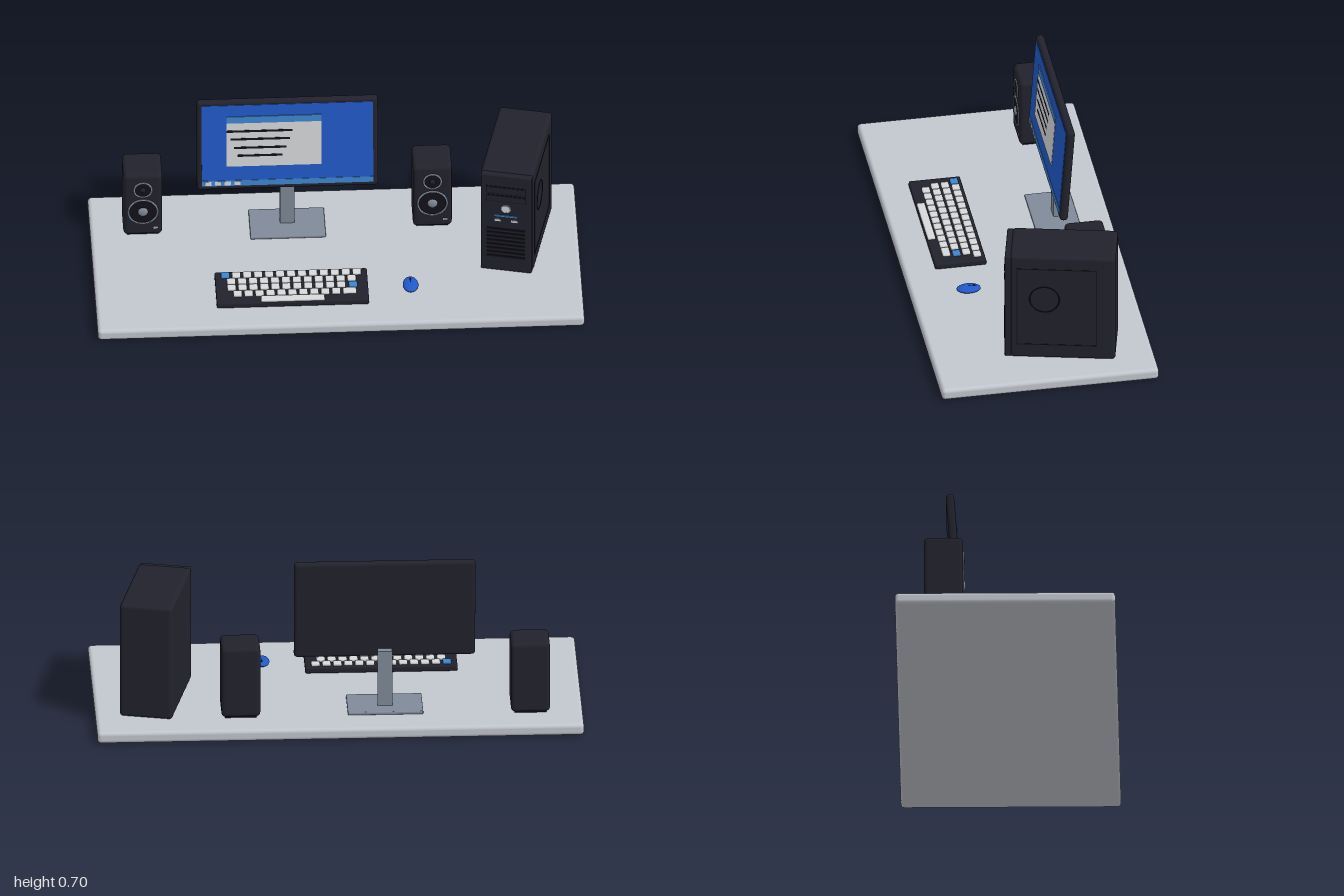
import * as THREE from 'three';
import { RoundedBoxGeometry } from 'three/addons/geometries/RoundedBoxGeometry.js';

const mat = (name, color) => Object.assign(new THREE.MeshStandardMaterial({ color }), { name });

export function createModel() {
  const M = {
    desk: mat('deskGrey', 0xc2c6ce),
    dark: mat('charcoal', 0x22222d),
    black: mat('black', 0x121219),
    blue: mat('blue', 0x2259c9),
    sky: mat('lightBlue', 0x3d86d0),
    steel: mat('steel', 0x808a99),
    white: mat('offWhite', 0xd6d8da),
  };

  const add = (parent, name, geo, material, x, y, z) => {
    const mesh = new THREE.Mesh(geo, material);
    mesh.name = name;
    mesh.position.set(x, y, z);
    parent.add(mesh);
    return mesh;
  };
  const box = (parent, name, material, w, h, d, x, y, z) =>
    add(parent, name, new THREE.BoxGeometry(w, h, d), material, x, y, z);
  const rbox = (parent, name, material, w, h, d, r, x, y, z) =>
    add(parent, name, new RoundedBoxGeometry(w, h, d, 3, r), material, x, y, z);
  // Disc whose flat side faces +z
  const disc = (parent, name, material, r, depth, x, y, z) =>
    add(parent, name, new THREE.CylinderGeometry(r, r, depth, 32).rotateX(Math.PI / 2), material, x, y, z);
  const ring = (parent, name, material, r, tube, x, y, z) =>
    add(parent, name, new THREE.TorusGeometry(r, tube, 8, 40), material, x, y, z);
  const group = (parent, name, x = 0, y = 0, z = 0) => {
    const g = new THREE.Group();
    g.name = name;
    g.position.set(x, y, z);
    parent.add(g);
    return g;
  };

  const model = new THREE.Group();
  model.name = 'computerDesk';
  rbox(model, 'deskTop', M.desk, 2, 0.05, 0.905, 0.016, 0, 0.025, 0);

  // Monitor stand and tilted display
  const monitor = group(model, 'monitor', -0.19, 0, 0);
  rbox(monitor, 'standBase', M.steel, 0.31, 0.014, 0.188, 0.005, 0, 0.056, -0.224);
  box(monitor, 'standNeck', M.steel, 0.06, 0.25, 0.034, 0, 0.18, -0.235);
  const display = group(monitor, 'display', 0, 0.485, -0.217);
  display.rotation.x = -0.073;
  rbox(display, 'housing', M.dark, 0.745, 0.434, 0.034, 0.014, 0, 0, 0);
  box(display, 'screen', M.blue, 0.705, 0.395, 0.004, 0, 0.003, 0.017);
  box(display, 'taskbar', M.sky, 0.705, 0.026, 0.004, 0, -0.1815, 0.0185);
  box(display, 'window', M.white, 0.39, 0.245, 0.004, -0.055, 0.023, 0.0185);
  box(display, 'titleBar', M.sky, 0.39, 0.032, 0.004, -0.055, 0.13, 0.0205);
  [[-0.25, 0.02, 0.073], [-0.235, 0.01, 0.034], [-0.22, -0.005, -0.008], [-0.205, -0.02, -0.047]]
    .forEach(([a, b, y]) => box(display, 'textLine', M.black, b - a, 0.01, 0.003, (a + b) / 2, y, 0.02));
  for (let i = 0; i < 4; i++)
    box(display, 'taskIcon', M.white, 0.025, 0.018, 0.003, -0.326 + i * 0.04, -0.1815, 0.0205);

  // Pair of speakers
  for (const x of [-0.785, 0.405]) {
    const s = group(model, 'speaker', x, 0.05, -0.255);
    box(s, 'foot', M.black, 0.13, 0.012, 0.13, 0, 0.006, 0);
    rbox(s, 'cabinet', M.dark, 0.16, 0.308, 0.16, 0.018, 0, 0.16, 0);
    for (const [name, y, r, cap] of [['tweeter', 0.24, 0.036, 0.012], ['woofer', 0.128, 0.06, 0.021]]) {
      disc(s, name + 'Cone', M.black, r, 0.004, 0, y, 0.08);
      ring(s, name + 'Ring', M.steel, r, 0.004, 0, y, 0.081);
      const dome = new THREE.SphereGeometry(cap, 20, 12).scale(1, 1, 0.45);
      add(s, name + 'Cap', dome, name === 'woofer' ? M.steel : M.dark, 0, y, 0.082);
    }
    box(s, 'statusLight', M.white, 0.018, 0.007, 0.004, 0.053, 0.044, 0.08);
  }

  // Tower, turned a little towards the keyboard
  const tower = group(model, 'tower', 0.745, 0.05, -0.093);
  tower.rotation.y = -0.23;
  rbox(tower, 'case', M.dark, 0.22, 0.5, 0.434, 0.016, 0, 0.25, -0.007);
  rbox(tower, 'frontPanel', M.dark, 0.212, 0.492, 0.03, 0.006, 0, 0.248, 0.216);
  for (const y of [0.42, 0.377]) {
    box(tower, 'driveBayGap', M.black, 0.166, 0.036, 0.004, 0, y, 0.2305);
    box(tower, 'driveBay', M.dark, 0.158, 0.028, 0.006, 0, y, 0.2315);
  }
  disc(tower, 'powerRing', M.steel, 0.021, 0.005, 0, 0.326, 0.231);
  disc(tower, 'powerButton', M.white, 0.017, 0.008, 0, 0.326, 0.232);
  box(tower, 'lightStrip', M.sky, 0.095, 0.007, 0.005, 0, 0.288, 0.232);
  for (const x of [-0.035, 0.035]) box(tower, 'port', M.white, 0.026, 0.01, 0.005, x, 0.265, 0.232);
  for (let i = 0; i < 8; i++)
    box(tower, 'ventSlat', M.black, 0.16, 0.009, 0.006, 0, 0.078 + i * 0.02, 0.232);

  // Side panel seams and round vent
  for (const y of [0.068, 0.438]) box(tower, 'sideSeam', M.black, 0.003, 0.004, 0.326, 0.11, y, 0.016);
  for (const z of [-0.147, 0.179]) box(tower, 'sideSeam', M.black, 0.003, 0.374, 0.004, 0.11, 0.253, z);
  ring(tower, 'sideVentRing', M.black, 0.061, 0.0025, 0.11, 0.29, 0.067).rotation.y = Math.PI / 2;

  // Keyboard: each row is inset by half a key
  const kb = group(model, 'keyboard', -0.192, 0.05, 0.218);
  rbox(kb, 'keyboardCase', M.dark, 0.626, 0.026, 0.214, 0.007, 0, 0.013, 0);
  const pitch = 0.045, keyGeo = new RoundedBoxGeometry(0.036, 0.014, 0.034, 2, 0.006);
  [13, 12, 12, 11].forEach((count, row) => {
    const start = [-0.27, -0.248, -0.248, -0.225][row];
    for (let i = 0; i < count; i++) {
      const accent = (row === 0 && i === 0) || (row === 2 && i === count - 1);
      const wide = row === 3 && i === count - 1;
      const geo = wide ? new RoundedBoxGeometry(0.056, 0.014, 0.034, 2, 0.006) : keyGeo;
      const x = start + i * pitch + (wide ? 0.01 : accent && row === 2 ? 0.004 : 0);
      add(kb, accent ? 'accentKey' : 'key', geo, accent ? M.sky : M.white, x, 0.031, -0.075 + row * 0.0415);
    }
  });
  rbox(kb, 'spaceBar', M.white, 0.262, 0.014, 0.034, 0.006, 0, 0.031, 0.089);

  // Mouse: flattened dome with a wheel and button split
  const mouse = group(model, 'mouse', 0.296, 0.05, 0.217);
  add(mouse, 'mouseBody', new THREE.SphereGeometry(1, 32, 16).scale(0.032, 0.0135, 0.05), M.blue, 0, 0.0135, 0);
  add(mouse, 'scrollWheel', new THREE.CylinderGeometry(0.007, 0.007, 0.006, 16).rotateZ(Math.PI / 2),
    M.black, 0, 0.022, -0.023);
  box(mouse, 'buttonSplit', M.black, 0.002, 0.004, 0.032, 0, 0.0245, -0.016).rotation.x = -0.16;

  return model;
}
